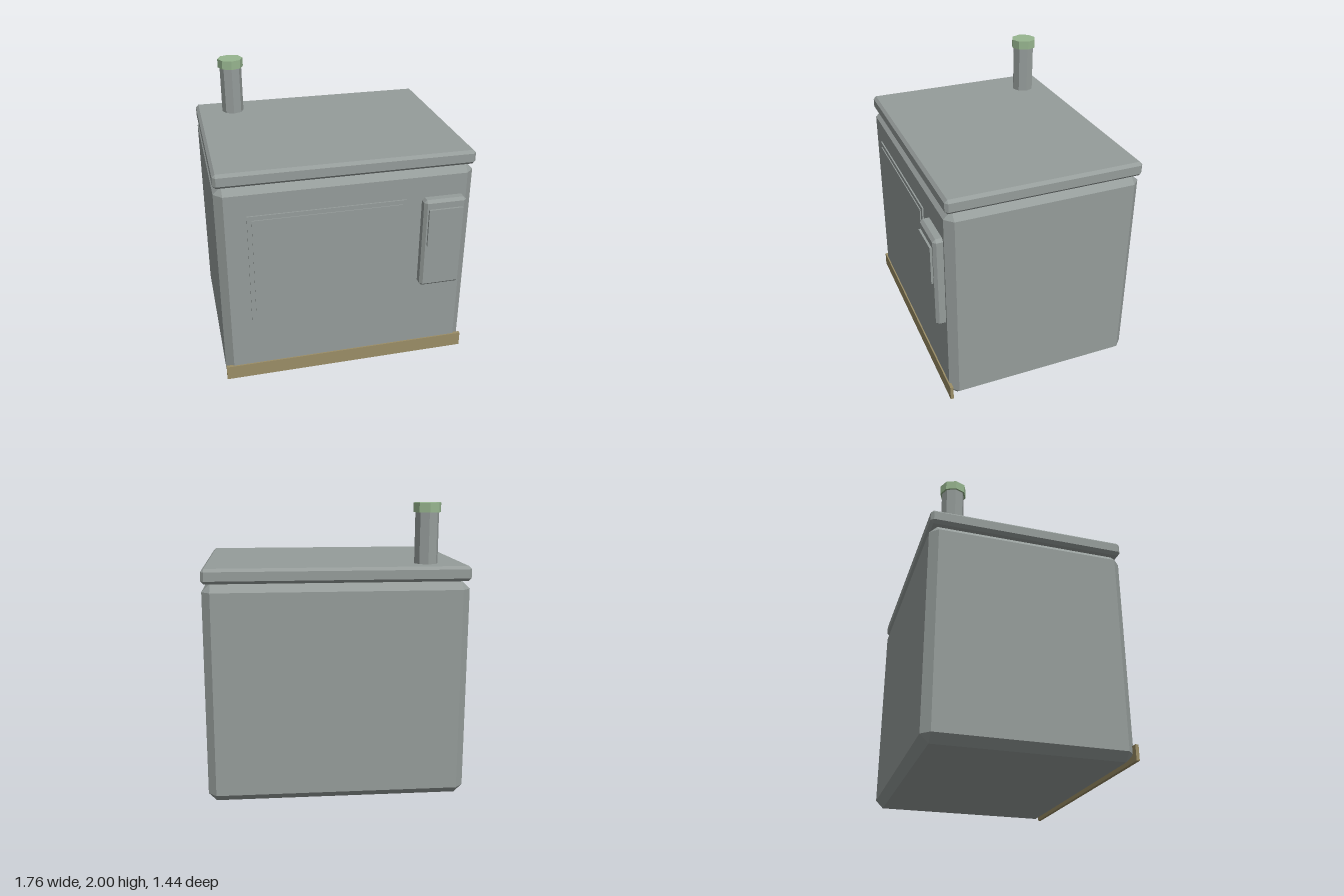
import * as THREE from 'three';
import { ConvexGeometry } from 'three/addons/geometries/ConvexGeometry.js';

const material = (name, color) => {
  const m = new THREE.MeshStandardMaterial({ color });
  m.name = name;
  return m;
};

// Box between two corners with every edge cut at 45 degrees
function chamferBox([x0, y0, z0], [x1, y1, z1], bevel) {
  const half = new THREE.Vector3(x1 - x0, y1 - y0, z1 - z0).multiplyScalar(0.5);
  const points = [];
  for (const sx of [-1, 1]) for (const sy of [-1, 1]) for (const sz of [-1, 1]) {
    for (let axis = 0; axis < 3; axis++) {
      const inset = [bevel, bevel, bevel];
      inset[axis] = 0;
      points.push(new THREE.Vector3(
        sx * (half.x - inset[0]), sy * (half.y - inset[1]), sz * (half.z - inset[2])));
    }
  }
  return new ConvexGeometry(points).translate((x0 + x1) / 2, (y0 + y1) / 2, (z0 + z1) / 2);
}

// Plain box between two corners
function box([x0, y0, z0], [x1, y1, z1]) {
  return new THREE.BoxGeometry(x1 - x0, y1 - y0, z1 - z0)
    .translate((x0 + x1) / 2, (y0 + y1) / 2, (z0 + z1) / 2);
}

// Upright eight-sided prism with flat sides
function prism(radius, y0, y1, x, z) {
  const g = new THREE.CylinderGeometry(radius, radius, y1 - y0, 8)
    .translate(x, (y0 + y1) / 2, z).toNonIndexed();
  g.computeVertexNormals();
  return g;
}

export function createModel() {
  const group = new THREE.Group();
  group.name = 'oven';
  const grey = material('grey metal', 0x959c9a);
  const green = material('green cap', 0x97b58f);
  const brown = material('brown trim', 0x9a8d66);

  const add = (name, geometry, mat) => {
    const mesh = new THREE.Mesh(geometry, mat);
    mesh.name = name;
    group.add(mesh);
  };

  // Cabinet and overhanging lid
  add('body', chamferBox([-0.88, 0, -0.72], [0.88, 1.497, 0.64], 0.055), grey);
  add('lid', chamferBox([-0.88, 1.497, -0.72], [0.88, 1.597, 0.64], 0.02), grey);

  // Door with a raised window
  add('door', box([-0.68, 0.48, 0.62], [0.4, 1.29, 0.65]), grey);
  add('doorWindow', box([-0.65, 0.51, 0.64], [0.37, 1.26, 0.657]), grey);

  // Control box and its screen
  add('controlBox', chamferBox([0.51, 0.615, 0.6], [0.81, 1.29, 0.705], 0.02), grey);
  add('controlScreen', box([0.54, 0.95, 0.69], [0.78, 1.225, 0.72]), grey);

  // Skirting along the front
  add('skirting', box([-0.88, 0, 0.628], [0.88, 0.105, 0.65]), brown);

  // Chimney
  add('chimneyPipe', prism(0.08, 1.58, 1.95, -0.612, -0.518), grey);
  add('chimneyCap', prism(0.093, 1.937, 2, -0.612, -0.518), green);

  return group;
}
